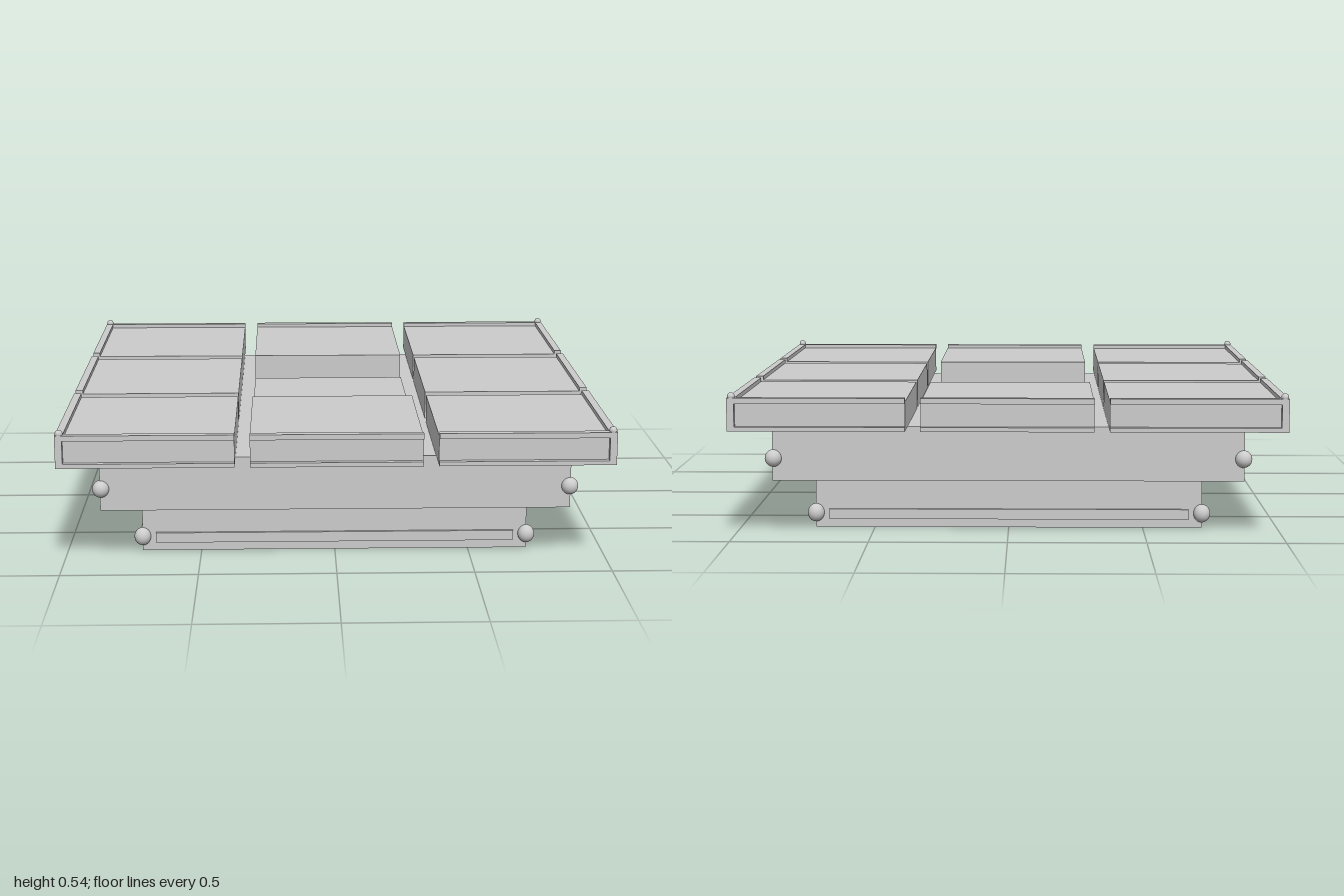
import * as THREE from 'three';

const grey = new THREE.MeshStandardMaterial({ color: 0xcccccc });

// Box given by its minimum and maximum corners
function block(parent, name, [x0, y0, z0], [x1, y1, z1]) {
  const mesh = new THREE.Mesh(new THREE.BoxGeometry(x1 - x0, y1 - y0, z1 - z0), grey);
  mesh.position.set((x0 + x1) / 2, (y0 + y1) / 2, (z0 + z1) / 2);
  mesh.name = name;
  parent.add(mesh);
  return mesh;
}

// The same ball on all four corners
function cornerBalls(parent, name, half, y, radius, stretch = 1) {
  const geometry = new THREE.SphereGeometry(radius, 24, 16);
  for (const sx of [-1, 1]) for (const sz of [-1, 1]) {
    const ball = new THREE.Mesh(geometry, grey);
    ball.position.set(sx * half, y, sz * half);
    ball.scale.y = stretch;
    ball.name = name;
    parent.add(ball);
  }
}

export function createModel() {
  const model = new THREE.Group();
  model.name = 'steppedPlatform';

  // Two stacked slabs
  block(model, 'baseSlab', [-0.72, 0, -0.72], [0.72, 0.2, 0.72]);
  block(model, 'middleSlab', [-0.86, 0.2, -0.86], [0.86, 0.4, 0.86]);
  cornerBalls(model, 'baseCornerBall', 0.72, 0.055, 0.031, 1.1);
  cornerBalls(model, 'middleCornerBall', 0.857, 0.282, 0.031, 1.03);

  // Three by three tiles with open gaps, the centre one sunk low
  const spans = [[-0.98, -0.365], [-0.31, 0.31], [0.365, 0.98]];
  const tiles = new THREE.Group();
  tiles.name = 'tiles';
  model.add(tiles);
  spans.forEach(([x0, x1], i) => spans.forEach(([z0, z1], j) => {
    const centre = i === 1 && j === 1;
    block(tiles, centre ? 'centreTile' : 'tile', [x0, 0.4, z0], [x1, centre ? 0.42 : 0.505, z1]);
  }));

  // Edge trim, repeated on the four sides
  for (let side = 0; side < 4; side++) {
    const edge = new THREE.Group();
    edge.name = 'sideTrim';
    edge.rotation.y = side * Math.PI / 2;
    model.add(edge);
    block(edge, 'baseStrip', [-0.67, 0.032, 0.715], [0.67, 0.07, 0.73]);
    for (const [a, b] of [[-0.975, -0.365], [-0.31, 0.31], [0.365, 0.975]]) {
      block(edge, 'upperTrim', [a, 0.5, 0.972], [b, 0.52, 1]);
      block(edge, 'lowerTrim', [a, 0.4, 0.972], [b, 0.416, 1]);
    }
    block(edge, 'cornerPost', [0.974, 0.4, 0.974], [1, 0.52, 1]);
  }
  cornerBalls(model, 'postFinial', 0.985, 0.525, 0.014);

  return model;
}
